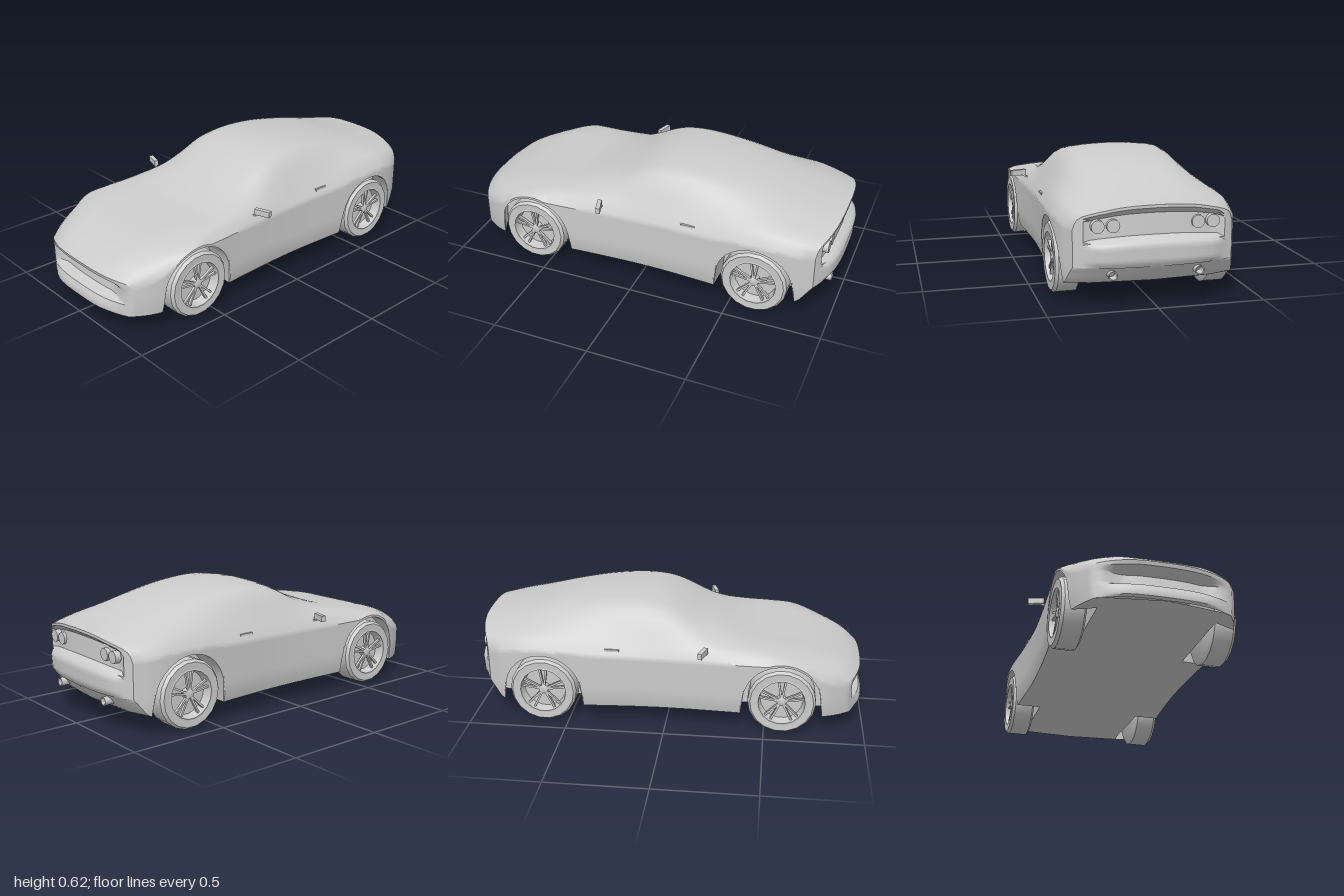
import * as THREE from 'three';
import { mergeGeometries, toCreasedNormals } from 'three/addons/utils/BufferGeometryUtils.js';

const grey = new THREE.MeshStandardMaterial({ color: 0xcccccc, side: THREE.DoubleSide });
const { lerp, clamp, smoothstep } = THREE.MathUtils;

// Stations along the car: s, half width, shoulder y, belt x, belt y, roof corner x, y, centre y, floor y
const STATIONS = [
  [-0.98, 0.37, 0.36, 0.34, 0.415, 0.22, 0.45, 0.468, 0.19],
  [-0.9, 0.405, 0.37, 0.36, 0.43, 0.25, 0.462, 0.482, 0.105],
  [-0.75, 0.425, 0.38, 0.375, 0.45, 0.25, 0.495, 0.52, 0.1],
  [-0.55, 0.427, 0.38, 0.375, 0.455, 0.25, 0.54, 0.575, 0.09],
  [-0.35, 0.415, 0.37, 0.37, 0.44, 0.257, 0.572, 0.608, 0.09],
  [-0.15, 0.403, 0.365, 0.365, 0.43, 0.265, 0.582, 0.62, 0.09],
  [0, 0.4, 0.36, 0.365, 0.425, 0.272, 0.56, 0.597, 0.09],
  [0.2, 0.405, 0.36, 0.365, 0.42, 0.28, 0.475, 0.51, 0.09],
  [0.4, 0.415, 0.36, 0.365, 0.413, 0.27, 0.432, 0.438, 0.09],
  [0.55, 0.424, 0.36, 0.375, 0.402, 0.26, 0.415, 0.415, 0.09],
  [0.72, 0.422, 0.335, 0.38, 0.372, 0.26, 0.388, 0.387, 0.09],
  [0.85, 0.405, 0.29, 0.36, 0.33, 0.24, 0.35, 0.35, 0.088],
  [0.93, 0.375, 0.255, 0.34, 0.295, 0.22, 0.315, 0.315, 0.086],
  [0.985, 0.33, 0.235, 0.31, 0.258, 0.2, 0.27, 0.276, 0.086],
];
const FRONT = 0.985, REAR = -0.98;
const SIDE = 20, TOP = 14, LENGTH = 130;
const AXLES = { front: 0.585, rear: -0.625 };
const WHEEL_Y = 0.17, ARCH = 0.195;

// Smooth interpolation of one station column
function sample(s, col) {
  const T = STATIONS, n = T.length;
  let i = 0;
  while (i < n - 2 && s > T[i + 1][0]) i++;
  const slope = (k) => {
    const a = T[Math.max(k - 1, 0)], b = T[Math.min(k + 1, n - 1)];
    return (b[col] - a[col]) / (b[0] - a[0]);
  };
  const h = T[i + 1][0] - T[i][0], t = clamp((s - T[i][0]) / h, 0, 1), t2 = t * t, t3 = t2 * t;
  return (2 * t3 - 3 * t2 + 1) * T[i][col] + (t3 - 2 * t2 + t) * h * slope(i)
    + (3 * t2 - 2 * t3) * T[i + 1][col] + (t3 - t2) * h * slope(i + 1);
}

// Bowed plan shape of nose and tail
const noseZ = (x) => FRONT - 0.14 * Math.abs(x / 0.42) ** 3;
const tailZ = (x) => REAR + 0.1 * Math.abs(x / 0.42) ** 3;
function planZ(s, x) {
  if (s > 0.6) return 0.6 + (s - 0.6) * (noseZ(x) - 0.6) / (FRONT - 0.6);
  if (s < -0.7) return -0.7 + (s + 0.7) * (tailZ(x) + 0.7) / (REAR + 0.7);
  return s;
}

// Half cross-section: floor, wheel well, side, then shoulder to roof centre
function section(s) {
  const [w, sh0, bx, by, gx, gy, top, floor] = [1, 2, 3, 4, 5, 6, 7, 8].map((c) => sample(s, c));
  let sill = floor;
  for (const zc of Object.values(AXLES)) {
    const d = Math.abs(planZ(s, w) - zc);
    if (d < ARCH) sill = Math.max(floor, WHEEL_Y + Math.sqrt(ARCH * ARCH - d * d));
  }
  const sh = Math.max(sh0, sill + 0.012);
  const V = (x, y) => new THREE.Vector2(x, y);
  const side = [];
  for (let k = 0; k <= SIDE; k++) {
    const y = lerp(sill, sh, k / SIDE);
    const low = clamp((0.2 - y) / 0.11, 0, 1);
    side.push(V(w * (1 - 0.035 * low * low), y));
  }
  const crown = new THREE.SplineCurve([V(w, sh), V(bx, Math.max(by, sh + 0.01)), V(gx, gy),
    V(gx * 0.55, lerp(gy, top, 0.8)), V(0, top)]).getPoints(TOP);
  const under = [V(0, floor), V(0.28, floor), V(0.28, sill)];
  return { side, crown, half: [...under, ...side, ...crown.slice(1)] };
}

// Skin a grid of points
function skin(rows) {
  const n = rows[0].length, index = [];
  for (let i = 0; i < rows.length - 1; i++) {
    for (let j = 0; j < n - 1; j++) {
      const a = i * n + j, b = a + n;
      index.push(a, b, a + 1, b, b + 1, a + 1);
    }
  }
  const g = new THREE.BufferGeometry();
  g.setAttribute('position', new THREE.Float32BufferAttribute(rows.flat(2), 3));
  g.setIndex(index);
  return g;
}

const mirrorLine = (pts) => [...pts, ...pts.slice(0, -1).reverse().map((p) => new THREE.Vector2(-p.x, p.y))];

// Relief of the end faces: [height fraction, outward offset]
const NOSE_RELIEF = [[0, 0], [0.06, 0.015], [0.2, 0.012], [0.35, 0], [0.42, -0.05], [0.75, -0.06], [0.9, -0.005], [1, 0]];
const TAIL_RELIEF = [[0, 0], [0.1, 0.016], [0.38, 0.02], [0.45, 0], [0.5, -0.03], [0.86, -0.035], [0.93, 0], [1, 0]];
function relief(table, v) {
  const i = Math.max(1, table.findIndex((r) => r[0] >= v));
  const [a, b] = [table[i - 1], table[i]];
  return lerp(a[1], b[1], (v - a[0]) / (b[0] - a[0]));
}

function endFace(s) {
  const { side, crown } = section(s), isNose = s > 0;
  const edge = side[SIDE];
  const columns = mirrorLine(crown).map((t) => side.map((p, k) => {
    const v = k / SIDE, x = t.x * p.x / edge.x, y = lerp(side[0].y, t.y, v), ax = Math.abs(x);
    return isNose
      ? [x, y, noseZ(x) + relief(NOSE_RELIEF, v) * (1 - smoothstep(ax, 0.17, 0.31))]
      : [x, y, tailZ(x) - relief(TAIL_RELIEF, v) * (1 - smoothstep(ax, 0.28, 0.33))];
  }));
  return skin(isNose ? columns.reverse() : columns);
}

function bodyGeometry() {
  const rings = [];
  for (let i = 0; i <= LENGTH; i++) {
    const s = lerp(FRONT, REAR, i / LENGTH);
    rings.push(mirrorLine(section(s).half).map((p) => [p.x, p.y, planZ(s, p.x)]));
  }
  // the floor start is repeated at the ring's end, closing it
  return toCreasedNormals(mergeGeometries([skin(rings), endFace(FRONT), endFace(REAR)]), 0.6);
}

function add(parent, name, geometry, x = 0, y = 0, z = 0) {
  const mesh = new THREE.Mesh(geometry, grey);
  mesh.name = name;
  mesh.position.set(x, y, z);
  parent.add(mesh);
  return mesh;
}

const lathe = (pts, n) => toCreasedNormals(
  new THREE.LatheGeometry(pts.map((p) => new THREE.Vector2(...p)), n).rotateZ(-Math.PI / 2), 0.55);

// Wheel with its outer face towards +x
function createWheel() {
  const wheel = new THREE.Group();
  add(wheel, 'tyre', lathe([[0, -0.062], [0.15, -0.062], [0.17, -0.05], [0.17, 0.045], [0.158, 0.06], [0.125, 0.058]], 18));
  add(wheel, 'rim', lathe([[0.125, 0.058], [0.117, 0.06], [0.108, 0.01], [0, 0.01]], 18));
  add(wheel, 'hub', lathe([[0.024, 0.01], [0.024, 0.045], [0.014, 0.05], [0, 0.05]], 12));
  for (let i = 0; i < 5; i++) {
    for (const offset of [-0.16, 0.16]) {
      const spoke = new THREE.BoxGeometry(0.014, 0.098, 0.01).translate(0.038, 0.064, 0);
      add(wheel, 'spoke', spoke).rotation.x = i * Math.PI * 0.4 + offset;
    }
  }
  return wheel;
}

export function createModel() {
  const car = new THREE.Group();
  car.name = 'sportsCar';
  add(car, 'body', bodyGeometry());

  for (const side of [1, -1]) {
    const label = side > 0 ? 'left' : 'right';

    // Wheels
    for (const [end, z] of Object.entries(AXLES)) {
      const wheel = createWheel();
      wheel.name = `${label}${end === 'front' ? 'Front' : 'Rear'}Wheel`;
      wheel.position.set(side * 0.362, WHEEL_Y, z);
      wheel.rotation.y = side > 0 ? 0 : Math.PI;
      car.add(wheel);
    }

    // Door mirror on a slim stalk
    const head = add(car, `${label}Mirror`, new THREE.BoxGeometry(0.083, 0.03, 0.022), side * 0.434, 0.425, 0.19);
    head.rotation.y = side * 0.3;
    const stalk = add(car, `${label}MirrorStalk`, new THREE.BoxGeometry(0.05, 0.008, 0.012), side * 0.395, 0.403, 0.2);
    stalk.rotation.z = side * 0.35;

    // Door handle
    add(car, `${label}DoorHandle`, new THREE.BoxGeometry(0.012, 0.01, 0.075), side * 0.391, 0.4, -0.27);

    // Round tail lamps and exhaust
    for (const x of [0.195, 0.265]) {
      add(car, `${label}TailLamp`, new THREE.CylinderGeometry(0.03, 0.03, 0.03, 16).rotateX(Math.PI / 2), side * x, 0.375, -0.938);
    }
    const pipe = lathe([[0.018, -0.07], [0.022, 0.05], [0.017, 0.05], [0.015, 0], [0, 0]], 12).rotateY(Math.PI / 2);
    add(car, `${label}Exhaust`, pipe, side * 0.2, 0.155, -0.92);
  }
  return car;
}
